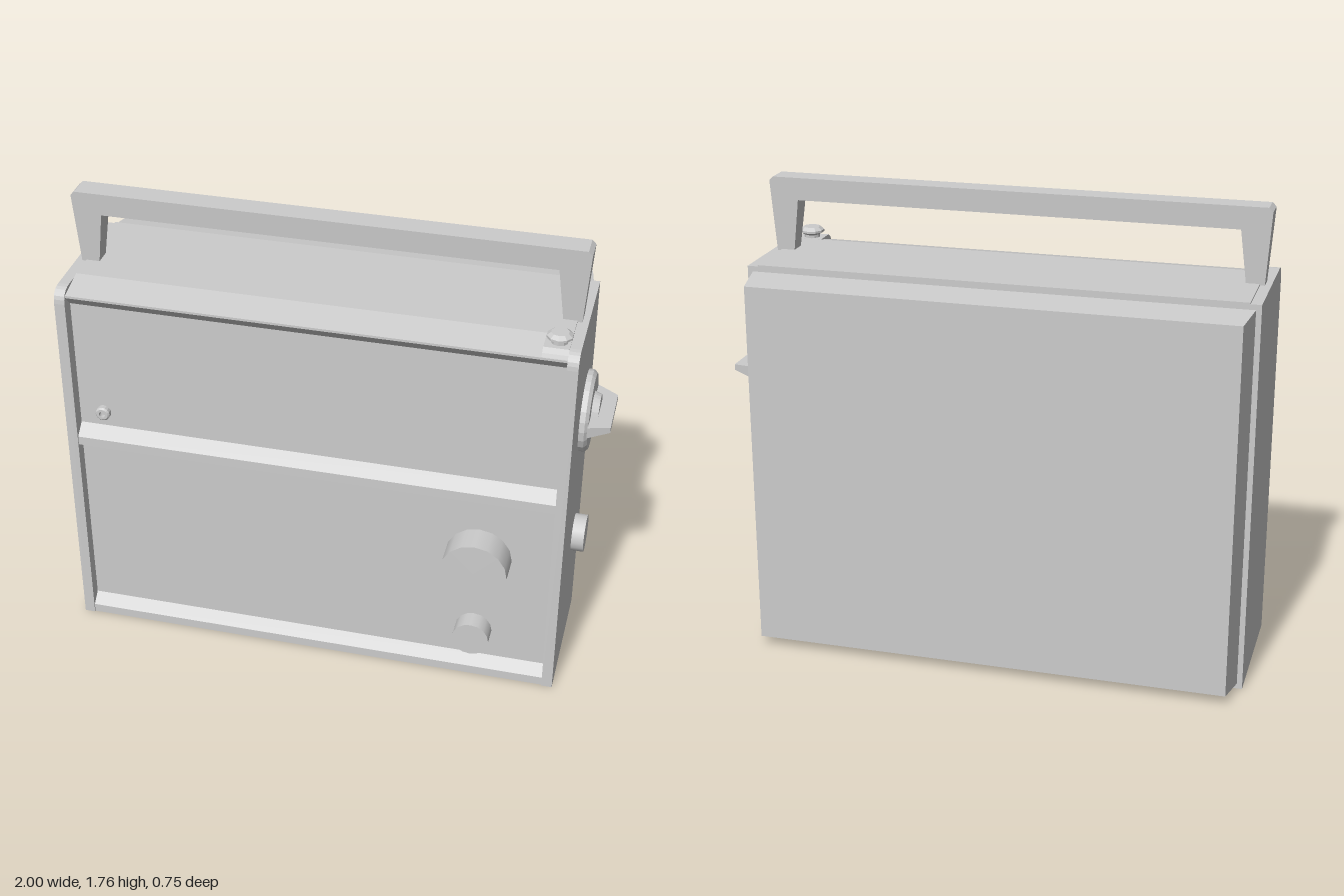
import * as THREE from 'three';

export function createModel() {
  const model = new THREE.Group();
  const grey = new THREE.MeshStandardMaterial({ color: 0xcccccc });
  const CX = -0.055; // middle of the case

  const add = (name, geometry, x = 0, y = 0, z = 0) => {
    const mesh = new THREE.Mesh(geometry, grey);
    mesh.name = name;
    mesh.position.set(x, y, z);
    model.add(mesh);
    return mesh;
  };
  const flat = (geometry) => {
    const g = geometry.index ? geometry.toNonIndexed() : geometry;
    g.computeVertexNormals();
    return g;
  };
  const polygon = (points) => new THREE.Shape(points.map(([a, b]) => new THREE.Vector2(a, b)));
  // Extrude a (z, y) outline along x, from x0 to x1
  const alongX = (shape, x0, x1) => {
    const g = new THREE.ExtrudeGeometry(shape, { depth: x1 - x0, bevelEnabled: false, curveSegments: 6 });
    return g.rotateY(-Math.PI / 2).translate(x1, 0, 0);
  };
  const lathe = (points, sides) =>
    flat(new THREE.LatheGeometry(points.map(([r, y]) => new THREE.Vector2(r, y)), sides));

  // Side plates with a rounded upper front corner
  const side = new THREE.Shape();
  side.moveTo(-0.23, 0);
  side.lineTo(0.31, 0);
  side.lineTo(0.31, 1.425);
  side.quadraticCurveTo(0.31, 1.48, 0.255, 1.48);
  side.lineTo(-0.23, 1.48);
  add('leftSide', alongX(side, 0.85, 0.89));
  add('rightSide', alongX(side, -1, -0.96));

  // Case body with two recessed front panels, sloped sills and a sloped top lip
  add('caseBody', alongX(polygon([
    [-0.23, 0], [0.305, 0], [0.305, 0.035], [0.265, 0.072], [0.265, 0.815],
    [0.305, 0.815], [0.305, 0.85], [0.26, 0.89], [0.26, 1.405],
    [0.3, 1.448], [0.3, 1.457], [0.18, 1.485], [-0.23, 1.485],
  ]), -0.96, 0.85));
  add('buttonBase', alongX(polygon([
    [0.17, 1.44], [0.3, 1.45], [0.29, 1.47], [0.27, 1.483], [0.17, 1.483],
  ]), 0.76, 0.85));

  // Tapered back cover
  const back = new THREE.BoxGeometry(1.85, 1.44, 0.14);
  const bp = back.attributes.position;
  for (let i = 0; i < bp.count; i++) {
    if (bp.getZ(i) < 0) bp.setXY(i, bp.getX(i) * 0.976, bp.getY(i) * 0.976);
  }
  add('backCover', flat(back), CX, 0.74, -0.3);

  // Carrying handle, narrower in depth towards its feet
  const outline = [[0.922, 1.48], [0.94, 1.75], [0.925, 1.765]];
  const inner = [[-0.855, 1.48], [-0.83, 1.68]];
  const mirror = (points) => points.map(([x, y]) => [-x, y]).reverse();
  const handle = new THREE.ExtrudeGeometry(
    polygon([...outline, ...mirror(outline), ...inner, ...mirror(inner)]),
    { depth: 0.09, bevelEnabled: false });
  handle.translate(0, 0, -0.045);
  const hp = handle.attributes.position;
  for (let i = 0; i < hp.count; i++) {
    hp.setZ(i, hp.getZ(i) * (0.72 + 0.28 * (hp.getY(i) - 1.48) / 0.285));
  }
  add('handle', flat(handle), CX, 0, 0.042);

  // Round push button on the top
  add('topButton', lathe([
    [0.03, 0], [0.03, 0.012], [0.047, 0.022], [0.047, 0.03], [0.032, 0.042], [0, 0.042],
  ], 10), 0.81, 1.482, 0.225);

  // Front knobs
  const knobs = [['tuningKnob', 0.575, 0.54, 0.125, 0.375, 16], ['volumeKnob', 0.57, 0.195, 0.07, 0.337, 16]];
  for (const [name, x, y, r, front, sides] of knobs) {
    const depth = front - 0.255;
    const g = new THREE.CylinderGeometry(r, r, depth, sides).rotateX(Math.PI / 2);
    add(name, g, x, y, front - depth / 2);
  }

  // Small socket on the upper panel
  add('socket', lathe([
    [0.028, 0], [0.028, 0.018], [0.022, 0.024], [0.012, 0.024], [0.012, 0.006], [0, 0.006],
  ], 16).rotateX(Math.PI / 2), -0.865, 0.95, 0.26);

  // Band selector on the side: dial, hub and pointer
  add('selectorDial', lathe([
    [0.152, 0], [0.152, 0.02], [0.14, 0.032], [0.075, 0.032], [0.066, 0.058], [0, 0.058],
  ], 24).rotateZ(-Math.PI / 2), 0.89, 1.05, -0.035);
  const pointer = new THREE.BoxGeometry(0.08, 0.044, 0.3);
  const pp = pointer.attributes.position;
  for (let i = 0; i < pp.count; i++) {
    if (pp.getX(i) > 0) pp.setXYZ(i, pp.getX(i), pp.getY(i) * 0.5, pp.getZ(i) * 0.74);
  }
  add('selectorPointer', flat(pointer), 0.96, 1.05, -0.035);

  // Plain knob on the side
  add('sideKnob', new THREE.CylinderGeometry(0.072, 0.072, 0.05, 18).rotateZ(-Math.PI / 2), 0.912, 0.488, -0.04);

  return model;
}
